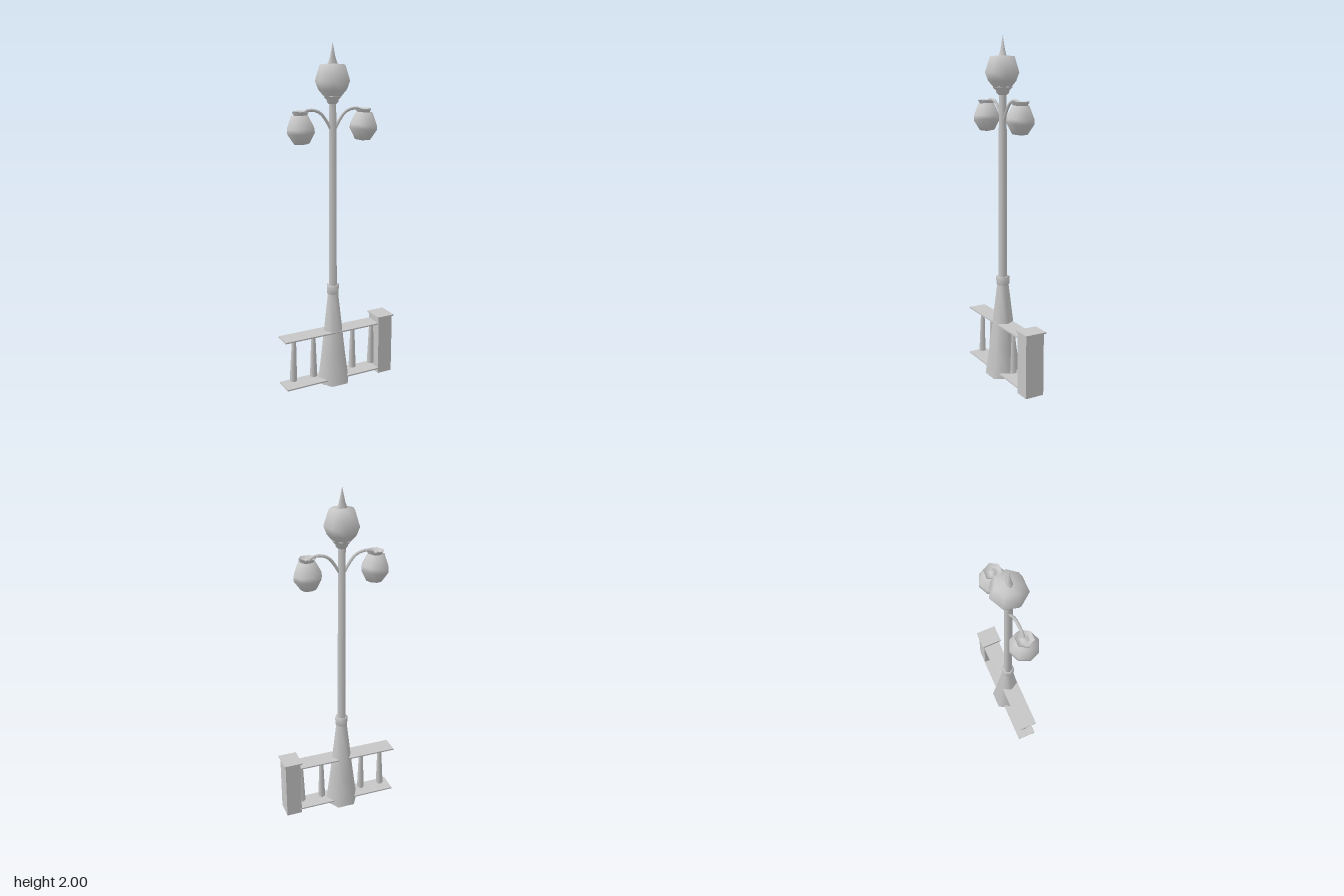
import * as THREE from 'three';

const POLE_X = -0.026;

export function createModel() {
  const model = new THREE.Group();
  model.name = 'streetLamp';
  const grey = new THREE.MeshStandardMaterial({ color: 0xc6c6c6 });
  grey.name = 'light grey';

  const add = (name, geometry, x = 0, y = 0, z = 0, parent = model) => {
    const mesh = new THREE.Mesh(geometry, grey);
    mesh.name = name;
    mesh.position.set(x, y, z);
    parent.add(mesh);
    return mesh;
  };
  // Turned part: profile of [radius, height] pairs from bottom to top
  const turned = (profile, sides, start = Math.PI / 2) =>
    new THREE.LatheGeometry(profile.map(([r, y]) => new THREE.Vector2(r, y)), sides, start);

  // Column: flared foot, collar and slim pole
  add('foot', turned([[0, 0], [0.001, 0], [0.105, 0], [0.105, 0.001], [0.08, 0.18], [0.034, 0.56]], 6), POLE_X);
  add('collar', turned([[0.031, 0.555], [0.038, 0.565], [0.041, 0.61], [0.024, 0.612]], 6), POLE_X);
  add('pole', turned([[0.026, 0.6], [0.022, 1.7]], 6), POLE_X);

  // Top lantern: holder, faceted globe and flattened spike
  add('globeHolder', turned([[0.022, 1.67], [0.035, 1.68], [0.038, 1.695], [0.054, 1.71], [0.054, 1.716], [0, 1.716]], 6), POLE_X);
  add('topGlobe', turned([[0.04, 1.7], [0.082, 1.748], [0.1, 1.795], [0.072, 1.883], [0, 1.89]], 7, Math.PI), POLE_X);
  const spike = add('spike', turned([[0.033, 1.88], [0.018, 1.92], [0, 2]], 6), POLE_X);
  spike.scale.z = 0.62;

  // Side lanterns, mirrored about the pole
  for (const side of [-1, 1]) {
    const lamp = new THREE.Group();
    lamp.name = side > 0 ? 'leftLantern' : 'rightLantern';
    lamp.position.x = POLE_X;
    model.add(lamp);
    const x = side * 0.197;

    const path = new THREE.CatmullRomCurve3(
      [[0.015, 1.535], [0.05, 1.592], [0.085, 1.628], [0.135, 1.642], [0.172, 1.635], [0.197, 1.612]]
        .map(([px, py]) => new THREE.Vector3(side * px, py, 0)));
    add('arm', new THREE.TubeGeometry(path, 10, 0.009, 5), 0, 0, 0, lamp);

    const globe = add('sideGlobe',
      turned([[0, -0.079], [0.045, -0.072], [0.081, -0.012], [0.079, 0.014], [0.048, 0.083], [0, 0.084]], 8),
      x, 1.534, 0, lamp);
    globe.rotation.z = side * -0.08;

    add('cap', turned([[0.034, 1.608], [0.05, 1.633], [0.049, 1.638], [0.031, 1.618], [0.02, 1.626], [0, 1.634]], 6),
      x, 0, 0, lamp);
  }

  // Railing: two flat rails and four tapered balusters
  add('topRail', new THREE.BoxGeometry(0.63, 0.008, 0.108), -0.045, 0.327, 0.003);
  add('bottomRail', new THREE.BoxGeometry(0.625, 0.008, 0.118), -0.043, 0.03, 0.003);
  for (const [x, lean] of [[-0.289, -0.03], [-0.159, 0], [0.106, 0], [0.238, -0.01]]) {
    const baluster = add('baluster', new THREE.CylinderGeometry(0.013, 0.022, 0.246, 6), x, 0.178, 0.002);
    baluster.rotation.z = lean;
  }

  // End post with a thin cap plate
  add('endPost', new THREE.BoxGeometry(0.094, 0.366, 0.114), 0.304, 0.183, 0.005);
  add('postCap', new THREE.BoxGeometry(0.111, 0.008, 0.13), 0.3045, 0.37, 0.003);

  return model;
}
